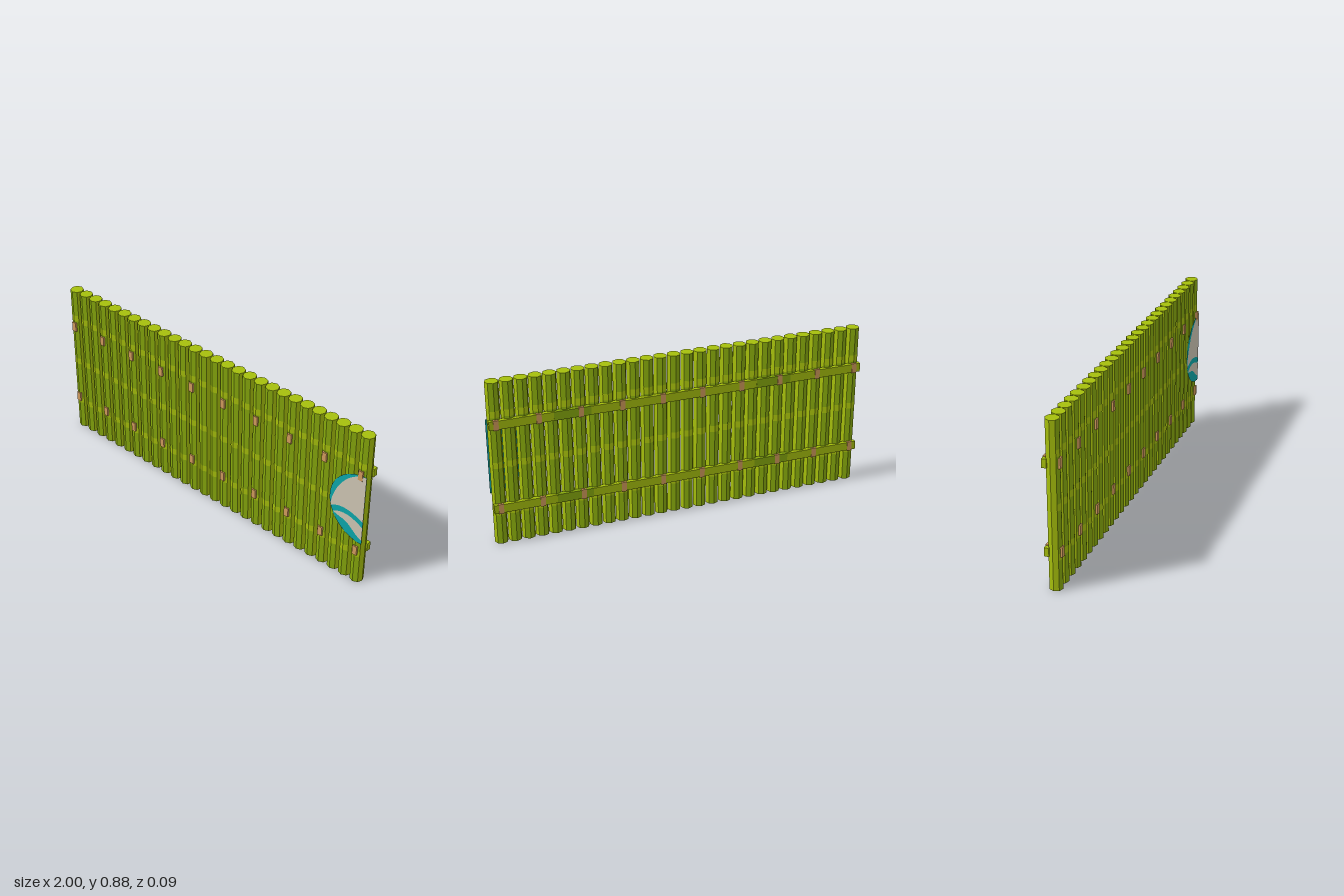
import * as THREE from 'three';

const mat = (name, color, extra = {}) =>
  Object.assign(new THREE.MeshStandardMaterial({ color, ...extra }), { name });

export function createModel() {
  const yellowGreen = mat('yellowGreenBamboo', 0xa6bf0c, { flatShading: true });
  const green = mat('greenBamboo', 0x86a80c, { flatShading: true });
  const binding = mat('tanBinding', 0xd09a5c);
  const grey = mat('paleGreyPaint', 0xccc4b2, { side: THREE.DoubleSide });
  const teal = mat('tealPaint', 0x0ca5a8, { side: THREE.DoubleSide });

  const model = new THREE.Group();
  model.name = 'bambooFence';
  const add = (name, geometry, material, x, y, z) => {
    const mesh = new THREE.Mesh(geometry, material);
    mesh.name = name;
    mesh.position.set(x, y, z);
    model.add(mesh);
    return mesh;
  };

  // Octagonal poles: greener on the front and back faces, yellower on the sides
  const count = 28, height = 0.88, radius = 0.035, step = 1.93 / (count - 1);
  const poleGeo = new THREE.CylinderGeometry(radius, radius, height, 8);
  poleGeo.clearGroups();
  [1, 0, 0, 1, 1, 0, 0, 1].forEach((m, i) => poleGeo.addGroup(i * 6, 6, m));
  poleGeo.addGroup(48, 48, 0);
  const nodeGeo = new THREE.CylinderGeometry(radius + 0.0005, radius + 0.0005, 0.035, 8, 1, true);
  const poleX = (i) => -0.965 + i * step;
  for (let i = 0; i < count; i++) {
    add('pole', poleGeo, [yellowGreen, green], poleX(i), height / 2, 0);
    for (const y of [0.18, 0.44, 0.715]) add('poleNode', nodeGeo, yellowGreen, poleX(i), y, 0);
  }

  // Two back rails with greener stretches, tied to every third pole
  const railGeo = new THREE.BoxGeometry(2, 0.046, 0.024);
  const patchGeo = new THREE.BoxGeometry(0.19, 0.047, 0.025);
  const tieGeo = new THREE.BoxGeometry(0.026, 0.053, 0.085);
  for (const y of [0.203, 0.662]) {
    add('backRail', railGeo, yellowGreen, 0, y, -0.031);
    for (const x of [0.58, -0.5]) add('railPatch', patchGeo, green, x, y, -0.031);
    for (let i = 0; i < count; i += 3) add('binding', tieGeo, binding, poleX(i), y, -0.0025);
  }

  // Painted half disc at the left end, with a tapering rim and two waves
  const disc = new THREE.Group();
  disc.name = 'paintedHalfDisc';
  disc.position.set(1, 0.462, 0.0365);
  model.add(disc);
  const paint = (name, shape, material, z) => {
    const mesh = new THREE.Mesh(new THREE.ShapeGeometry(shape, 24), material);
    mesh.name = name;
    mesh.position.z = z;
    disc.add(mesh);
  };
  const R = 0.204;
  const half = new THREE.Shape();
  half.absarc(0, 0, R, Math.PI / 2, Math.PI * 1.5, false);
  paint('discBase', half, teal, 0);

  // Upper pale field
  const field = new THREE.Shape();
  field.moveTo(0, 0.202);
  field.bezierCurveTo(-0.1, 0.195, -0.19, 0.06, -0.197, -0.065);
  field.bezierCurveTo(-0.15, -0.025, -0.08, -0.025, 0, -0.068);
  paint('paleField', field, grey, 0.001);

  // Pale band between the waves
  const band = new THREE.Shape();
  band.moveTo(-0.178, -0.09);
  band.bezierCurveTo(-0.13, -0.055, -0.07, -0.06, 0, -0.102);
  band.lineTo(0, -0.178);
  band.bezierCurveTo(-0.05, -0.165, -0.07, -0.115, -0.12, -0.105);
  band.quadraticCurveTo(-0.15, -0.1, -0.178, -0.09);
  paint('paleBand', band, grey, 0.001);

  return model;
}
